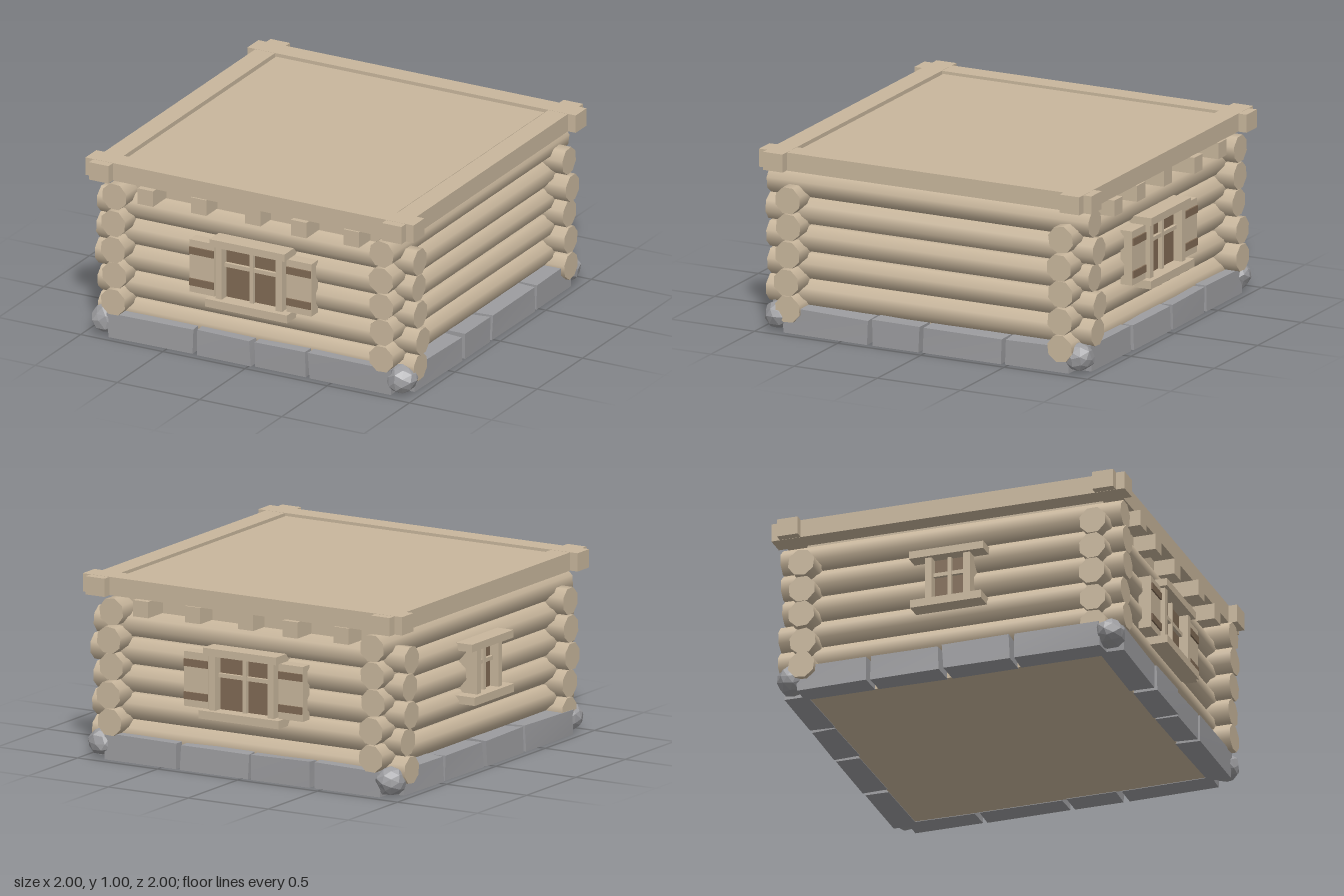
import * as THREE from 'three';

const wood = new THREE.MeshStandardMaterial({ color: 0xc8b69c });
wood.name = 'pale timber';
const brown = new THREE.MeshStandardMaterial({ color: 0x806a54 });
brown.name = 'brown wood';
const stone = new THREE.MeshStandardMaterial({ color: 0x9c9c9f });
stone.name = 'grey stone';

let seed = 11;
function rnd(a, b) {
  seed = (seed * 16807) % 2147483647;
  return a + (b - a) * (seed / 2147483647);
}

function add(parent, geometry, material, name) {
  const mesh = new THREE.Mesh(geometry, material);
  mesh.name = name;
  parent.add(mesh);
  return mesh;
}

// Box given by its low and high limits on each axis
function box(parent, name, material, [x0, x1], [y0, y1], [z0, z1]) {
  const mesh = add(parent, new THREE.BoxGeometry(x1 - x0, y1 - y0, z1 - z0), material, name);
  mesh.position.set((x0 + x1) / 2, (y0 + y1) / 2, (z0 + z1) / 2);
  return mesh;
}

// Move shared corners together, then facet the surface
function roughen(geometry, amount, keepBase) {
  const moved = new Map();
  const p = geometry.attributes.position;
  for (let i = 0; i < p.count; i++) {
    const key = [p.getX(i), p.getY(i), p.getZ(i)].map((v) => Math.round(v * 1000)).join();
    if (!moved.has(key)) moved.set(key, [0, 1, 2].map(() => rnd(-amount, amount)));
    const d = moved.get(key);
    const dy = keepBase && p.getY(i) < 0 ? 0 : d[1];
    p.setXYZ(i, p.getX(i) + d[0], p.getY(i) + dy, p.getZ(i) + d[2]);
  }
  geometry.computeVertexNormals();
  return geometry;
}

// One log of a wall, lying along x
function log(parent, y, x0, x1) {
  const mesh = add(parent, new THREE.CylinderGeometry(0.077, 0.077, x1 - x0, 8), wood, 'log');
  mesh.geometry.rotateY(Math.PI / 8 + rnd(-0.15, 0.15)).rotateZ(Math.PI / 2);
  mesh.position.set((x0 + x1) / 2, y, 0.82);
}

// Row of foundation stones split at the given gaps
function stones(parent, gaps) {
  const edges = [-0.87, ...gaps, 0.87];
  for (let i = 0; i < edges.length - 1; i++) {
    const block = box(parent, 'foundationStone', stone,
      [edges[i] + 0.012, edges[i + 1] - 0.012], [0, 0.14], [0.82, 0.955]);
    roughen(block.geometry, 0.007, true);
  }
}

// Framed window with crossed glazing bars
function windowFrame(parent, { half, sill, top, sillHalf, lintelHalf }) {
  const w = new THREE.Group();
  w.name = 'window';
  parent.add(w);
  box(w, 'pane', brown, [-half, half], [sill, top], [0.9, 0.908]);
  for (const s of [-1, 1]) {
    const x = s * (half + 0.018);
    box(w, 'jamb', wood, [x - 0.019, x + 0.019], [sill, top], [0.83, 0.96]);
  }
  box(w, 'mullion', wood, [-0.011, 0.011], [sill, top], [0.9, 0.93]);
  const mid = sill + (top - sill) * 0.63;
  box(w, 'glazingBar', wood, [-half, half], [mid - 0.011, mid + 0.011], [0.9, 0.927]);
  box(w, 'lintel', wood, [-lintelHalf, lintelHalf], [top, top + 0.042], [0.83, 0.98]);
  box(w, 'sill', wood, [-sillHalf, sillHalf], [sill - 0.045, sill], [0.83, 0.99]);
  return w;
}

function shutters(parent) {
  for (const s of [-1, 1]) {
    const g = new THREE.Group();
    g.name = 'shutter';
    g.position.x = s * 0.295;
    parent.add(g);
    box(g, 'shutterBoard', wood, [-0.076, 0.076], [0.35, 0.65], [0.87, 0.94]);
    for (const y of [0.41, 0.59])
      box(g, 'shutterBatten', brown, [-0.074, 0.074], [y - 0.02, y + 0.02], [0.94, 0.949]);
  }
}

export function createModel() {
  const model = new THREE.Group();
  model.name = 'logCabinStorey';

  // Floor slab and roof deck close the room
  box(model, 'floor', wood, [-0.825, 0.825], [0.003, 0.14], [-0.825, 0.825]);
  box(model, 'roofBase', wood, [-0.835, 0.835], [0.8, 0.965], [-0.835, 0.835]);
  box(model, 'roofDeck', wood, [-0.816, 0.816], [0.96, 0.988], [-0.816, 0.816]);

  // Each wall is built facing +z, then turned to its side
  const walls = [
    { name: 'frontWall', turn: 0, gaps: [-0.335, 0.02, 0.35] },
    { name: 'rightWall', turn: 1, gaps: [-0.33, -0.02, 0.47] },
    { name: 'backWall', turn: 2, gaps: [-0.4, 0.05, 0.44] },
    { name: 'leftWall', turn: 3, gaps: [-0.45, -0.04, 0.36] },
  ];
  for (const { name, turn, gaps } of walls) {
    const wall = new THREE.Group();
    wall.name = name;
    wall.rotation.y = turn * Math.PI / 2;
    model.add(wall);
    const side = turn % 2 === 1;

    // Side logs sit half a log higher than front and back ones
    for (let i = 0; i < 5; i++)
      log(wall, (side ? 0.21 : 0.137) + i * 0.15, -rnd(0.955, 0.99), rnd(0.95, 0.988));
    stones(wall, gaps);

    // Rim beam running past the corners
    const lift = side ? 0.001 : 0;
    box(wall, 'rimBeam', wood, [-0.998, 0.998], [0.9 - lift, 1 - lift], [0.832, 0.95]);

    if (!side) {
      // Joist ends under the rim
      [-0.615, -0.305, 0.02, 0.315, 0.625].forEach((x, i) =>
        box(wall, 'joistEnd', wood, [x - 0.047, x + 0.047], [0.812, 0.901],
          [0.8, [0.985, 0.96, 0.95, 0.98, 0.962][i]]));
      const w = windowFrame(wall, { half: 0.165, sill: 0.35, top: 0.65, sillHalf: 0.25, lintelHalf: 0.228 });
      shutters(w);
    } else if (turn === 3) {
      windowFrame(wall, { half: 0.09, sill: 0.412, top: 0.66, sillHalf: 0.2, lintelHalf: 0.21 });
    }

    // Round boulder at the corner
    const boulder = add(wall, roughen(new THREE.IcosahedronGeometry(0.085, 1), 0.006, false), stone, 'cornerStone');
    boulder.position.set(0.898, 0.085, 0.898);
    boulder.scale.y = 0.92;
  }
  return model;
}
